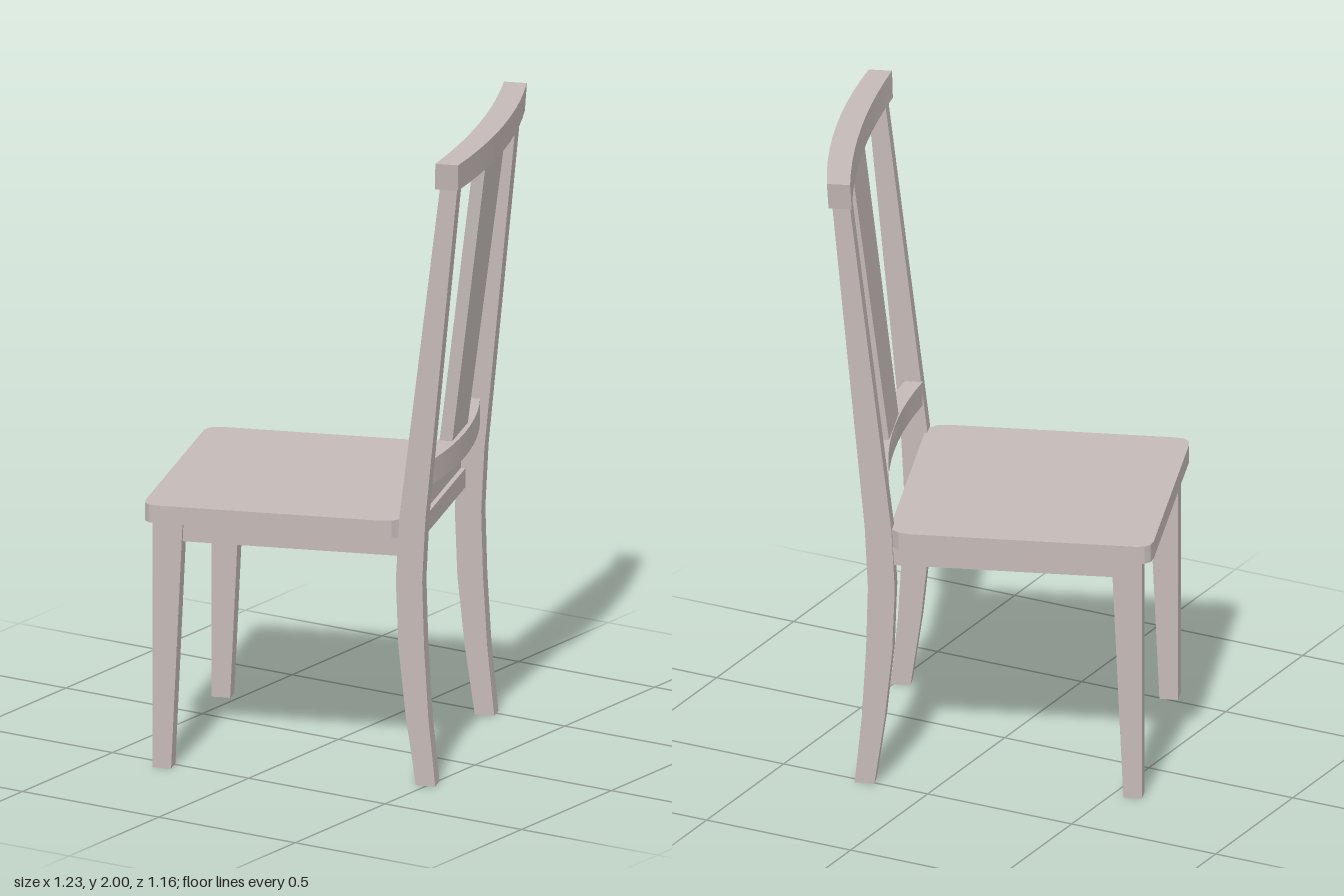
import * as THREE from 'three';
import { toCreasedNormals } from 'three/addons/utils/BufferGeometryUtils.js';

export function createModel() {
  const wood = new THREE.MeshStandardMaterial({ color: 0xc4bab7 });
  wood.name = 'pale wood';

  // The chair is built with its back toward +x, then turned as a whole.
  const model = new THREE.Group();
  model.name = 'diningChair';
  const chair = new THREE.Group();
  chair.name = 'chair';
  chair.position.z = 0.006;
  const turned = new THREE.Group();
  turned.name = 'turnedChair';
  turned.rotation.y = THREE.MathUtils.degToRad(20);
  turned.add(chair);
  model.add(turned);

  const add = (name, geometry) => {
    const mesh = new THREE.Mesh(toCreasedNormals(geometry, 0.4), wood);
    mesh.name = name;
    chair.add(mesh);
    return mesh;
  };
  const box = (name, x0, x1, y0, y1, z0, z1) =>
    add(name, new THREE.BoxGeometry(x1 - x0, y1 - y0, z1 - z0)
      .translate((x0 + x1) / 2, (y0 + y1) / 2, (z0 + z1) / 2));

  // Plan outline raised from y0 to y1
  const slab = (shape, y0, y1, curveSegments) =>
    new THREE.ExtrudeGeometry(shape, { depth: y1 - y0, bevelEnabled: false, curveSegments })
      .rotateX(-Math.PI / 2).translate(0, y0, 0);

  // Side outline (x, y) given a width from z0 to z1
  const sidePanel = (shape, z0, z1) =>
    new THREE.ExtrudeGeometry(shape, { depth: z1 - z0, bevelEnabled: false, curveSegments: 8 })
      .translate(0, 0, z0);

  // Seat with softened corners
  const w = 0.434, front = -0.515, back = 0.3, r = 0.05, rb = 0.07;
  const seat = new THREE.Shape();
  seat.moveTo(front + r, -w);
  seat.lineTo(back - rb, -w);
  seat.quadraticCurveTo(back, -w, back, -w + rb);
  seat.lineTo(back, w - rb);
  seat.quadraticCurveTo(back, w, back - rb, w);
  seat.lineTo(front + r, w);
  seat.quadraticCurveTo(front, w, front, w - r);
  seat.lineTo(front, -w + r);
  seat.quadraticCurveTo(front, -w, front + r, -w);
  add('seat', slab(seat, 0.785, 0.842, 3));

  // Apron frame under the seat
  box('frontApron', -0.463, -0.433, 0.725, 0.785, -0.37, 0.37);
  box('backApron', 0.285, 0.315, 0.725, 0.785, -0.37, 0.37);

  // Rear post outline: swept foot, then a straight backward lean
  const postFront = [[0.344, 0], [0.312, 0.22], [0.289, 0.44], [0.281, 0.65], [0.292, 0.85]];
  const postBack = [[0.374, 0.85], [0.364, 0.65], [0.37, 0.44], [0.383, 0.22], [0.405, 0]];
  const post = new THREE.Shape([
    ...postFront, [0.422, 1.93], [0.476, 1.93], ...postBack,
  ].map(([x, y]) => new THREE.Vector2(x, y)).reverse());

  // Front leg outline, tapered on the inner side
  const leg = new THREE.Shape([
    [-0.484, 0], [-0.426, 0], [-0.39, 0.785], [-0.484, 0.785],
  ].map(([x, y]) => new THREE.Vector2(x, y)));

  for (const [side, s] of [['left', 1], ['right', -1]]) {
    const span = (a, b) => (s > 0 ? [a, b] : [-b, -a]);
    add(side + 'RearPost', sidePanel(post, ...span(0.362, 0.418)));
    add(side + 'FrontLeg', sidePanel(leg, ...span(0.362, 0.419)));
    box(side + 'Apron', -0.42, 0.3, 0.725, 0.785, ...span(0.376, 0.406));
  }

  // Curved rail: ends at x0..x1, bowed backward in the middle
  const bowed = (half, x0, x1, bow0, bow1) => {
    const shape = new THREE.Shape();
    shape.moveTo(x0, -half);
    shape.lineTo(x1, -half);
    shape.quadraticCurveTo(x1 + 2 * bow1, 0, x1, half);
    shape.lineTo(x0, half);
    shape.quadraticCurveTo(x0 + 2 * bow0, 0, x0, -half);
    return shape;
  };
  add('lowerBackRail', slab(bowed(0.365, 0.306, 0.36, 0.036, 0.04), 0.932, 1.01, 10));

  // Crest rail, slightly narrower along its lower edge
  const crest = slab(bowed(0.454, 0.414, 0.486, 0.03, 0.036), 1.915, 2, 10);
  const cp = crest.attributes.position;
  for (let i = 0; i < cp.count; i++) {
    if (cp.getY(i) < 1.95) {
      cp.setZ(i, cp.getZ(i) * 0.978);
      cp.setX(i, cp.getX(i) - 0.004);
    }
  }
  add('crestRail', crest);

  // Central splat, widening and leaning toward the top
  const splat = new THREE.BoxGeometry(0.04, 0.96, 2);
  const sp = splat.attributes.position;
  for (let i = 0; i < sp.count; i++) {
    const t = sp.getY(i) / 0.96 + 0.5;
    sp.setXYZ(i, sp.getX(i) + 0.36 + 0.118 * t, 0.98 + 0.96 * t, sp.getZ(i) * (0.102 + 0.023 * t));
  }
  splat.computeVertexNormals();
  add('backSplat', splat);

  return model;
}
